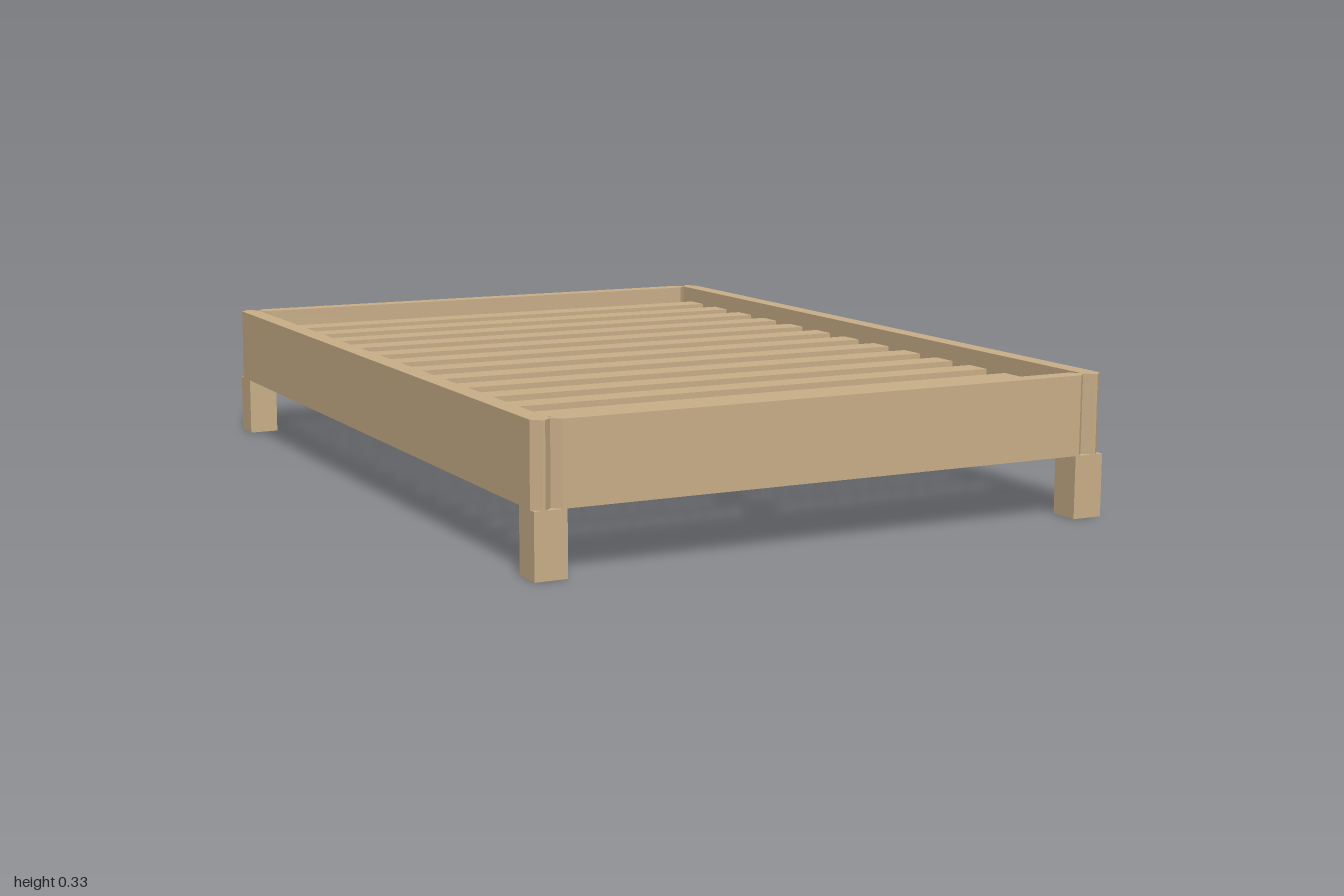
import * as THREE from 'three';

const wood = new THREE.MeshStandardMaterial({ color: 0xc8ae88 });
wood.name = 'pale wood';

// Overall measures
const HALF_W = 0.713, HALF_L = 1;
const RAIL_BOTTOM = 0.147, RAIL_TOP = 0.333, RAIL_T = 0.046;
const CHAMFER = 0.02, LEG = 0.075;

export function createModel() {
  const group = new THREE.Group();
  group.name = 'bedFrame';

  const add = (name, geometry, x, y, z) => {
    const mesh = new THREE.Mesh(geometry, wood);
    mesh.name = name;
    mesh.position.set(x, y, z);
    group.add(mesh);
    return mesh;
  };

  // Upright board along x with both vertical corners chamfered at each end
  const railGeometry = (length) => {
    const l = length / 2, t = RAIL_T / 2, c = CHAMFER;
    const outline = [
      [-l + c, -t], [l - c, -t], [l, -t + c], [l, t - c],
      [l - c, t], [-l + c, t], [-l, t - c], [-l, -t + c],
    ].map(([x, y]) => new THREE.Vector2(x, y));
    const geometry = new THREE.ExtrudeGeometry(new THREE.Shape(outline), {
      depth: RAIL_TOP - RAIL_BOTTOM, bevelEnabled: false,
    });
    return geometry.rotateX(-Math.PI / 2);
  };

  // Side rails run the full length; end rails fit between them
  const sideGeometry = railGeometry(2 * HALF_L).rotateY(Math.PI / 2);
  const endGeometry = railGeometry(2 * (HALF_W - RAIL_T));
  for (const s of [1, -1]) {
    add(s > 0 ? 'leftRail' : 'rightRail', sideGeometry, s * (HALF_W - RAIL_T / 2), RAIL_BOTTOM, 0);
    add(s > 0 ? 'frontRail' : 'backRail', endGeometry, 0, RAIL_BOTTOM, s * (HALF_L - RAIL_T / 2));
  }

  // Square legs under the four corners
  const legGeometry = new THREE.BoxGeometry(LEG, RAIL_BOTTOM, LEG);
  for (const sx of [1, -1]) {
    for (const sz of [1, -1]) {
      const name = (sz > 0 ? 'front' : 'back') + (sx > 0 ? 'Left' : 'Right') + 'Leg';
      add(name, legGeometry, sx * (HALF_W - LEG / 2), RAIL_BOTTOM / 2, sz * (HALF_L - LEG / 2));
    }
  }

  // Centre beam carrying the slats
  add('centreBeam', new THREE.BoxGeometry(0.07, 0.06, 1.85), 0, 0.205, 0);

  // Thirteen evenly spaced slats
  const slatGeometry = new THREE.BoxGeometry(1.32, 0.06, 0.07);
  for (let i = 0; i < 13; i++) {
    add('slat' + (i + 1), slatGeometry, 0, 0.265, (i - 6) * 0.145);
  }

  return group;
}
